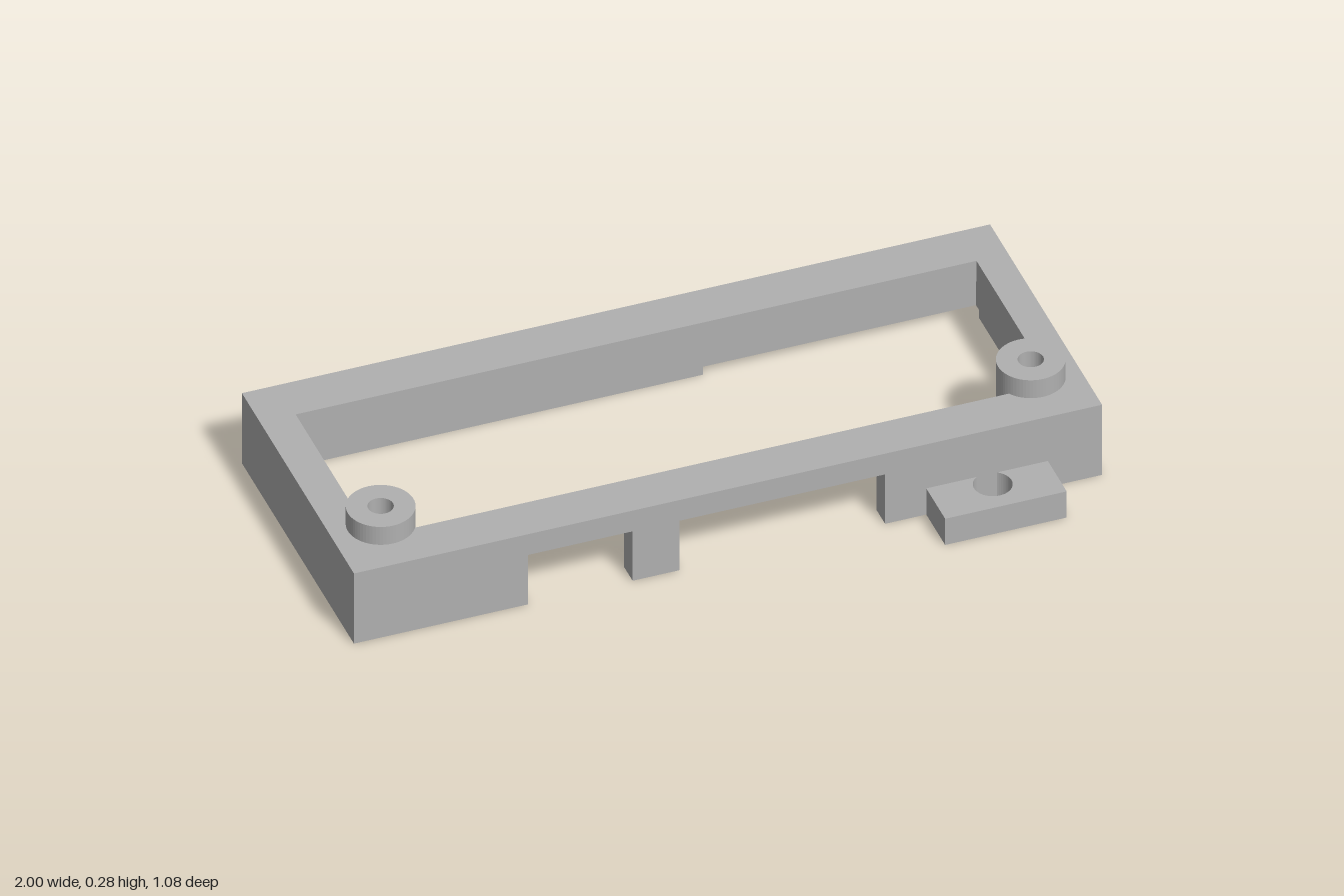
import * as THREE from 'three';

const H = 0.22;      // frame height
const LIP = 0.155;   // underside of the inner lip
const T = 0.06;      // wall thickness

const polygon = (pts) => new THREE.Shape(pts.map(([x, y]) => new THREE.Vector2(x, y)));
const rect = (x0, x1, y0, y1) => polygon([[x0, y0], [x1, y0], [x1, y1], [x0, y1]]);
const circle = (x, y, r) => new THREE.Path().absarc(x, y, r, 0, Math.PI * 2, true);
const extrude = (shape, depth) =>
  new THREE.ExtrudeGeometry(shape, { depth, bevelEnabled: false, curveSegments: 32 });

// Plan shape (x, z) extruded between two heights
function slab(shape, y0, y1) {
  return extrude(shape, y1 - y0).rotateX(Math.PI / 2).translate(0, y1, 0);
}

export function createModel() {
  const group = new THREE.Group();
  const gray = new THREE.MeshStandardMaterial({ color: 0xb0b0b0 });
  gray.name = 'plain gray';

  const add = (name, geometry) => {
    const mesh = new THREE.Mesh(geometry, gray);
    mesh.name = name;
    group.add(mesh);
  };

  // Front wall with two openings leaving a narrow leg between them
  const front = polygon([
    [-1, 0], [-0.535, 0], [-0.535, LIP], [-0.255, LIP], [-0.255, 0], [-0.13, 0],
    [-0.13, LIP], [0.42, LIP], [0.42, 0], [1, 0], [1, H], [-1, H],
  ]);
  add('frontWall', extrude(front, T).translate(0, 0, 0.4 - T));

  // Back wall with a shallow cut that runs out at the corner
  const back = polygon([[-1, 0], [0.21, 0], [0.21, 0.025], [1, 0.025], [1, H], [-1, H]]);
  add('backWall', extrude(back, T).translate(0, 0, -0.4));

  // End walls, the cut continuing briefly round the corner
  const zi = 0.4 - T;
  const leftEnd = polygon([[-zi, 0.025], [-0.32, 0.025], [-0.32, 0], [zi, 0], [zi, H], [-zi, H]]);
  add('leftEndWall', extrude(leftEnd, T).rotateY(-Math.PI / 2).translate(1, 0, 0));
  const rightEnd = rect(-zi, zi, 0, H);
  add('rightEndWall', extrude(rightEnd, T).rotateY(-Math.PI / 2).translate(-1 + T, 0, 0));

  // Inner lip around the top opening
  const lip = rect(-1 + T, 1 - T, -zi, zi);
  lip.holes.push(rect(-0.905, 0.915, -0.27, 0.275));
  add('innerLip', slab(lip, LIP, H));

  // Screw bosses at the front corners
  for (const [name, x] of [['rightBoss', -0.865], ['leftBoss', 0.873]]) {
    const ring = new THREE.Shape().absarc(x, 0.23, 0.0875, 0, Math.PI * 2, false);
    ring.holes.push(circle(x, 0.23, 0.033));
    add(name, slab(ring, LIP, 0.276));
  }

  // Drilled mounting tabs, rooted slightly inside the walls
  const tabs = [
    ['frontTab', rect(0.53, 0.855, 0.375, 0.535), 0.692, 0.442],
    ['backTab', rect(-0.16, 0.165, -0.54, -0.375), 0.003, -0.446],
  ];
  for (const [name, shape, x, z] of tabs) {
    shape.holes.push(circle(x, z, 0.05));
    add(name, slab(shape, 0, 0.082));
  }

  return group;
}
